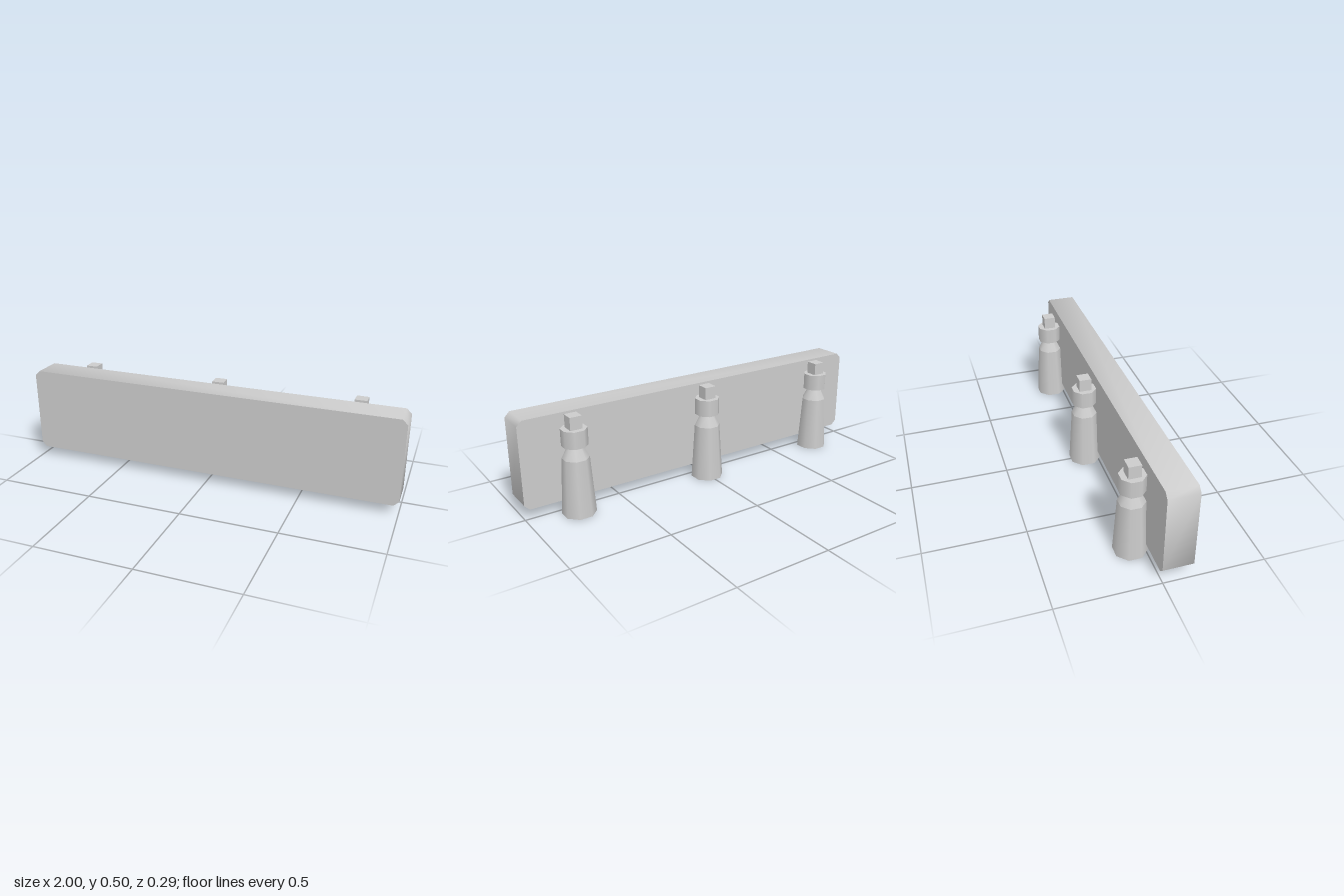
import * as THREE from 'three';
import { toCreasedNormals } from 'three/addons/utils/BufferGeometryUtils.js';

const material = new THREE.MeshStandardMaterial({ color: 0xcccccc });

function addMesh(parent, name, geometry) {
  const mesh = new THREE.Mesh(geometry, material);
  mesh.name = name;
  parent.add(mesh);
  return mesh;
}

// Octagonal section between two heights; radii are measured to the flats
function octagon(bottom, top, y0, y1) {
  const k = 1 / Math.cos(Math.PI / 8);
  return new THREE.CylinderGeometry(top * k, bottom * k, y1 - y0, 8)
    .rotateY(Math.PI / 8)
    .translate(0, (y0 + y1) / 2, 0);
}

// Long panel with clipped corners, softly shaded around its rim
function createPanel() {
  const x = 1, y0 = 0.052, y1 = 0.502, c = 0.026;
  const outline = new THREE.Shape([
    [-x + c, y0], [x - c, y0], [x, y0 + c], [x, y1 - c],
    [x - c, y1], [-x + c, y1], [-x, y1 - c], [-x, y0 + c],
  ].map(([px, py]) => new THREE.Vector2(px, py)));
  const geometry = new THREE.ExtrudeGeometry(outline, { depth: 0.15, bevelEnabled: false });
  geometry.translate(0, 0, -0.005);
  return toCreasedNormals(geometry, 1);
}

// Tapered post with a shoulder, a collar and a square peg on top
function createPost() {
  const post = new THREE.Group();
  post.name = 'post';
  addMesh(post, 'postBody', octagon(0.0775, 0.061, 0, 0.29));
  addMesh(post, 'postShoulder', octagon(0.061, 0.032, 0.29, 0.352));
  addMesh(post, 'postCollar', octagon(0.059, 0.059, 0.352, 0.438));
  addMesh(post, 'postPeg', new THREE.BoxGeometry(0.062, 0.064, 0.062).translate(0, 0.47, 0));
  return post;
}

export function createModel() {
  const model = new THREE.Group();
  model.name = 'barrier';
  addMesh(model, 'panel', createPanel());
  for (const x of [-0.75, 0, 0.75]) {
    const post = createPost();
    post.position.set(x, 0, -0.065);
    model.add(post);
  }
  return model;
}
